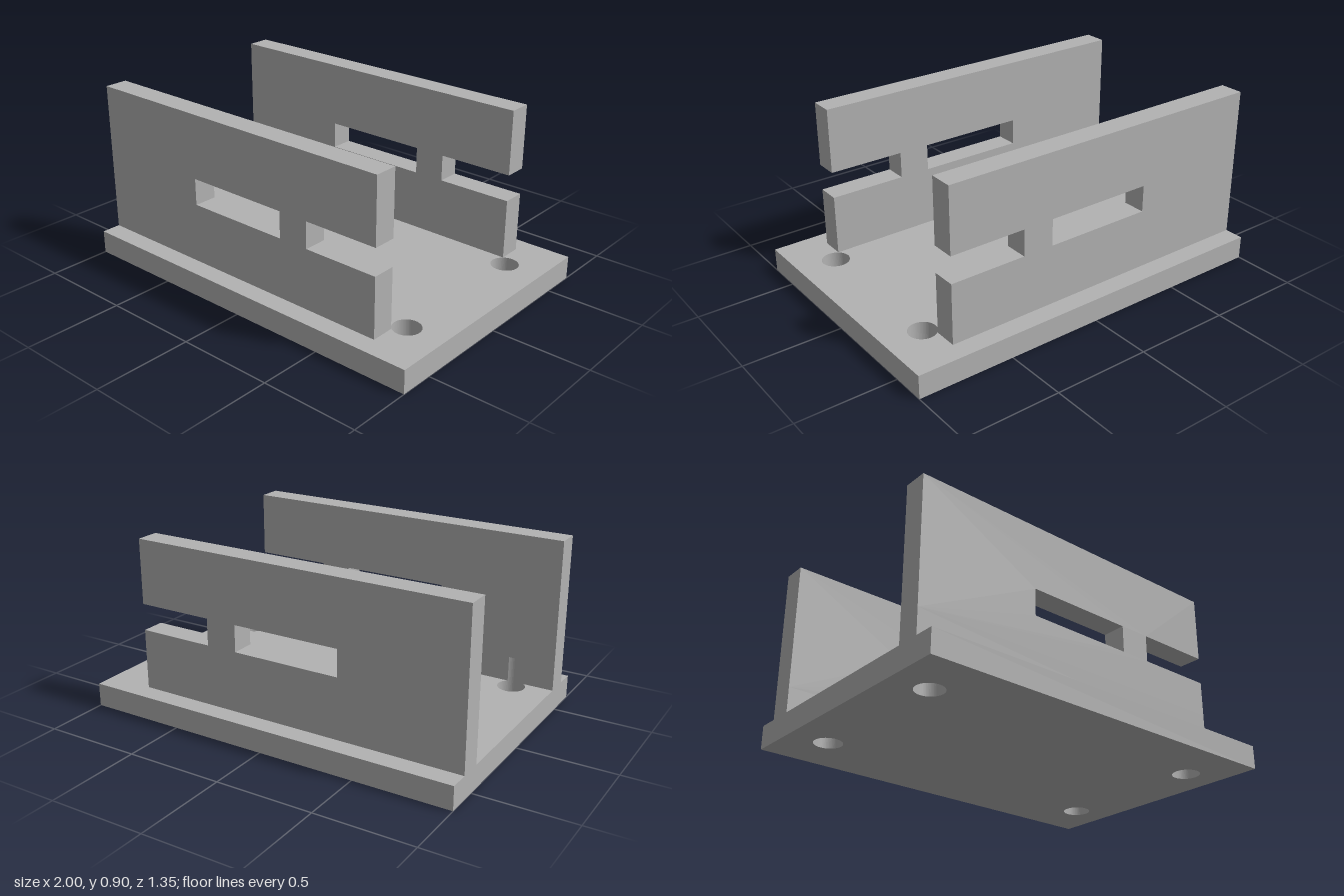
import * as THREE from 'three';

const BASE_H = 0.12, BASE_D = 0.677;             // base thickness and half depth
const IN = 0.456, OUT = 0.576;                   // inner and outer faces of the walls
const END = 0.755, TOP = 0.9, NOTCH_TOP = 0.25;
const HOLE_X = 0.8, HOLE_Z = 0.4, HOLE_R = 0.07;

const polygon = (pts) => new THREE.Shape(pts.map(([x, y]) => new THREE.Vector2(x, y)));

// Extrude a plan outline (x, -z) upward from height y0 to y1
function extrudeUp(shape, y0, y1) {
  const g = new THREE.ExtrudeGeometry(shape, { depth: y1 - y0, bevelEnabled: false, curveSegments: 32 });
  return g.rotateX(-Math.PI / 2).translate(0, y0, 0);
}

export function createModel() {
  const group = new THREE.Group();
  const grey = new THREE.MeshStandardMaterial({ color: 0xb2b2b2 });
  grey.name = 'grey';
  const add = (name, geometry) => {
    const mesh = new THREE.Mesh(geometry, grey);
    mesh.name = name;
    group.add(mesh);
  };

  // Base plate with four bolt holes
  const plate = polygon([[-1, -BASE_D], [1, -BASE_D], [1, BASE_D], [-1, BASE_D]]);
  for (const x of [-HOLE_X, HOLE_X]) for (const z of [-HOLE_Z, HOLE_Z]) {
    plate.holes.push(new THREE.Path().absarc(x, z, HOLE_R, 0, Math.PI * 2, true));
  }
  add('basePlate', extrudeUp(plate, 0, BASE_H));

  // Shallow round relief where a bolt hole bites into the wall foot
  const half = Math.acos((IN - HOLE_Z) / HOLE_R);
  const arc = [];
  for (let i = 0; i <= 12; i++) {
    const a = -half + (2 * half * i) / 12;
    arc.push([-HOLE_X + HOLE_R * Math.sin(a), HOLE_Z + HOLE_R * Math.cos(a)]);
  }
  const foot = [[-1, IN], ...arc, [END, IN], [END, OUT], [-1, OUT]];

  // Wall side profile with an open end slot and a closed window
  const profile = polygon([
    [-1, NOTCH_TOP], [END, NOTCH_TOP], [END, 0.43], [0.36, 0.43],
    [0.36, 0.567], [END, 0.567], [END, TOP], [-1, TOP],
  ]);
  profile.holes.push(polygon([[-0.363, 0.43], [-0.363, 0.567], [0.198, 0.567], [0.198, 0.43]]));

  for (const [name, side] of [['front', 1], ['back', -1]]) {
    add(name + 'WallFoot', extrudeUp(polygon(foot.map(([x, z]) => [x, -side * z])), BASE_H, NOTCH_TOP));
    const wall = new THREE.ExtrudeGeometry(profile, { depth: OUT - IN, bevelEnabled: false });
    add(name + 'Wall', wall.translate(0, 0, side > 0 ? IN : -OUT));
  }
  return group;
}
